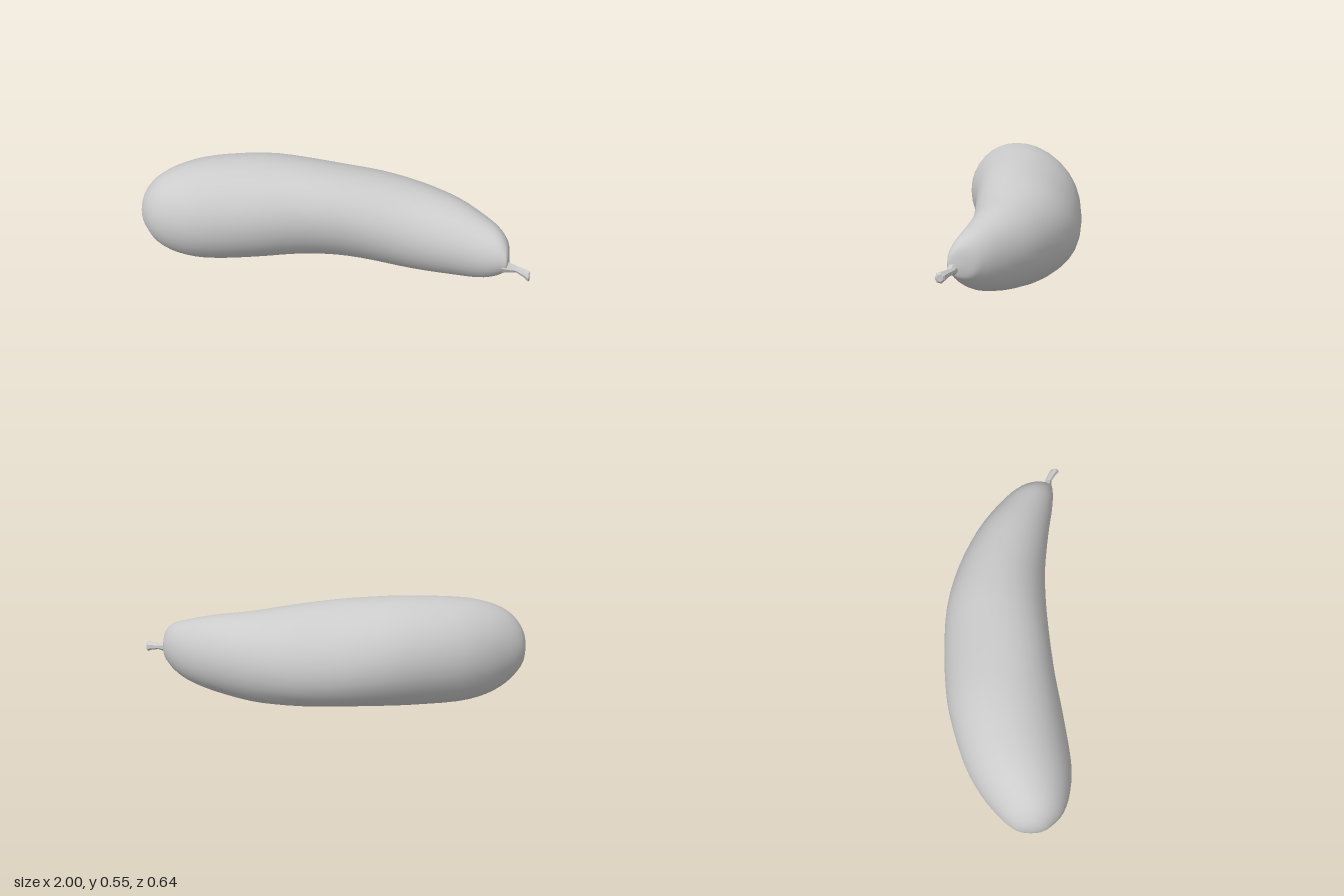
import * as THREE from 'three';
import { mergeVertices } from 'three/addons/utils/BufferGeometryUtils.js';

// Skin a row of oval sections, each given as [x, top, bottom, back, front].
// The ovals lean most around x = 0, fading to upright towards both ends.
function loft(rows, sides, steps, lean) {
  const centre = new THREE.CatmullRomCurve3(
    rows.map(([x, t, b, k, f]) => new THREE.Vector3(x, (t + b) / 2, (k + f) / 2)), false, 'catmullrom', 0.5);
  const radius = new THREE.CatmullRomCurve3(
    rows.map(([, t, b, k, f]) => new THREE.Vector3(0, (t - b) / 2, (f - k) / 2)), false, 'catmullrom', 0.5);
  const rings = (rows.length - 1) * steps;
  const positions = [], index = [];
  for (let i = 0; i <= rings; i++) {
    const c = centre.getPoint(i / rings), r = radius.getPoint(i / rings);
    const skew = lean * Math.exp(-((c.x / 0.35) ** 2));
    for (let j = 0; j < sides; j++) {
      const a = (j / sides) * Math.PI * 2;
      positions.push(c.x, c.y + r.y * Math.sin(a + skew), c.z + r.z * Math.cos(a));
      if (i === rings) continue;
      const p = i * sides + j, q = i * sides + (j + 1) % sides;
      index.push(p, p + sides, q, q, p + sides, q + sides);
    }
  }
  const geometry = new THREE.BufferGeometry();
  geometry.setAttribute('position', new THREE.Float32BufferAttribute(positions, 3));
  geometry.setIndex(index);
  const merged = mergeVertices(geometry, 1e-5);
  merged.computeVertexNormals();
  return merged;
}

export function createModel() {
  const group = new THREE.Group();
  group.name = 'curvedVegetable';

  // Plump curved body, thick at one end and tapering to the stalk
  const body = new THREE.Mesh(loft([
    [-1, 0.27, 0.27, 0.115, 0.115],
    [-0.99, 0.335, 0.2, 0.05, 0.175],
    [-0.96, 0.397, 0.145, 0, 0.222],
    [-0.9, 0.457, 0.082, -0.06, 0.275],
    [-0.8, 0.505, 0.03, -0.138, 0.307],
    [-0.65, 0.537, 0.002, -0.217, 0.315],
    [-0.4, 0.55, 0.002, -0.29, 0.277],
    [-0.2, 0.541, 0.009, -0.315, 0.24],
    [0, 0.523, 0.01, -0.321, 0.216],
    [0.2, 0.497, 0.006, -0.309, 0.202],
    [0.4, 0.463, 0.008, -0.254, 0.202],
    [0.6, 0.427, 0.034, -0.16, 0.222],
    [0.74, 0.387, 0.065, -0.06, 0.243],
    [0.82, 0.357, 0.103, 0.016, 0.25],
    [0.865, 0.32, 0.142, 0.075, 0.248],
    [0.885, 0.28, 0.167, 0.12, 0.242],
    [0.893, 0.215, 0.215, 0.2, 0.2],
  ], 32, 3, 0.2), new THREE.MeshStandardMaterial({ color: 0xcccccc }));
  body.name = 'body';
  group.add(body);

  // Short faceted stalk, flared at its root and its cut end
  const stalk = new THREE.Mesh(loft([
    [0.86, 0.25, 0.165, 0.17, 0.25],
    [0.89, 0.229, 0.175, 0.196, 0.246],
    [0.93, 0.217, 0.185, 0.208, 0.245],
    [0.97, 0.218, 0.175, 0.226, 0.27],
    [0.993, 0.218, 0.163, 0.238, 0.288],
    [1, 0.208, 0.172, 0.247, 0.28],
    [1, 0.19, 0.19, 0.263, 0.263],
  ], 7, 1, 0), new THREE.MeshStandardMaterial({ color: 0xcccccc, flatShading: true }));
  stalk.name = 'stalk';
  group.add(stalk);

  return group;
}
